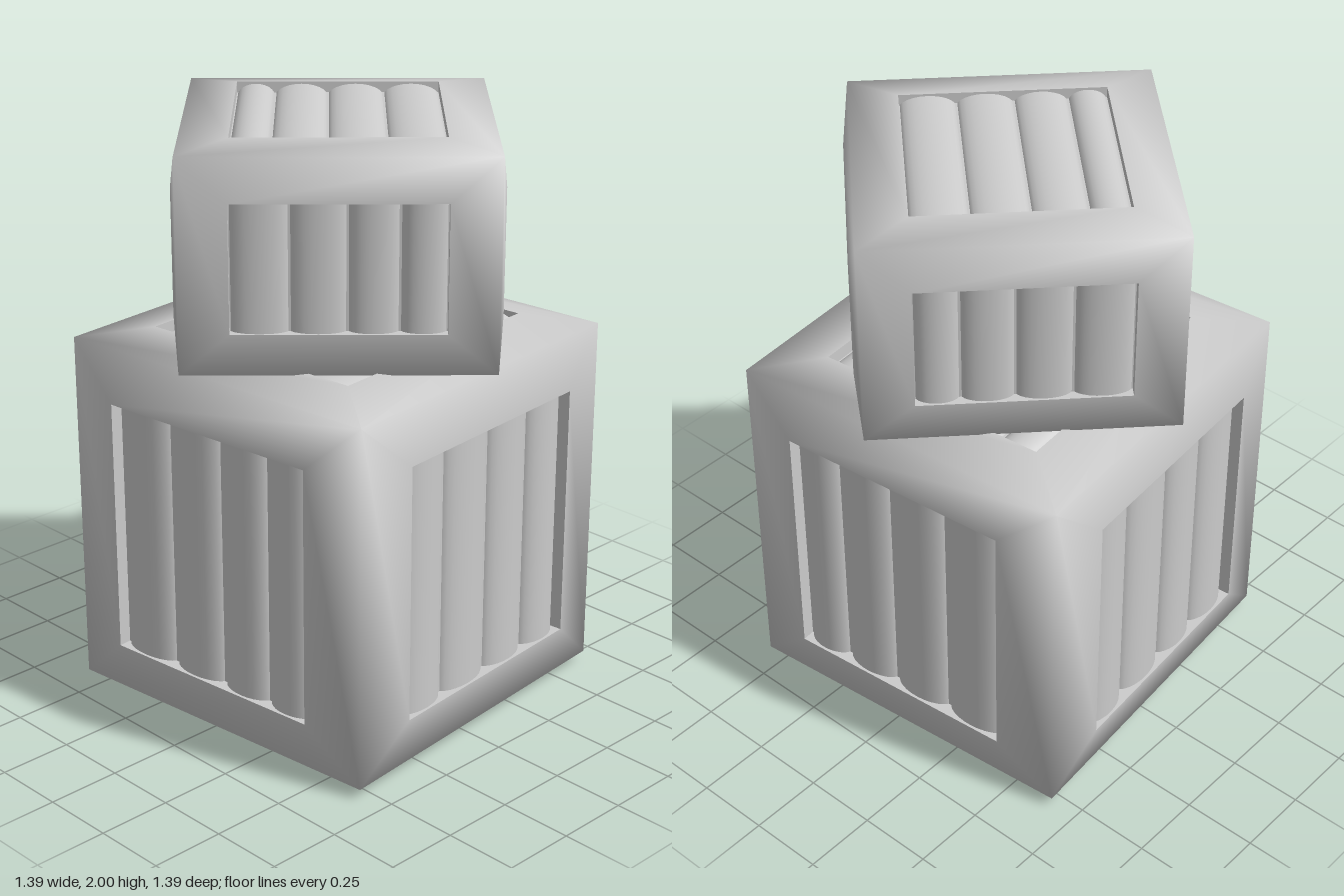
import * as THREE from 'three';
import { mergeVertices } from 'three/addons/utils/BufferGeometryUtils.js';

const V = (x, y, z) => new THREE.Vector3(x, y, z);

// Each side: u runs across the planks, v along them, n points outwards
const SIDES = [
  { name: 'front', u: V(1, 0, 0), v: V(0, 1, 0), n: V(0, 0, 1), cuts: [-1, -0.5, 0.05, 0.55, 1] },
  { name: 'left', u: V(0, 0, -1), v: V(0, 1, 0), n: V(1, 0, 0), cuts: [-1, -0.58, -0.08, 0.45, 1] },
  { name: 'back', u: V(-1, 0, 0), v: V(0, 1, 0), n: V(0, 0, -1), cuts: [-1, -0.52, 0.02, 0.5, 1] },
  { name: 'right', u: V(0, 0, 1), v: V(0, 1, 0), n: V(-1, 0, 0), cuts: [-1, -0.45, 0.08, 0.56, 1] },
  { name: 'top', u: V(0, 0, 1), v: V(1, 0, 0), n: V(0, 1, 0), cuts: [-1, -0.62, -0.1, 0.45, 1] },
  { name: 'bottom', u: V(0, 0, -1), v: V(1, 0, 0), n: V(0, -1, 0), cuts: [-1, -0.5, 0, 0.5, 1] },
];
const CORNERS = [[-1, -1], [1, -1], [1, 1], [-1, 1]];

function quad(list, a, b, c, d) {
  for (const p of [a, b, c, a, c, d]) list.push(p.x, p.y, p.z);
}

function toGeometry(list) {
  const g = new THREE.BufferGeometry();
  g.setAttribute('position', new THREE.Float32BufferAttribute(list, 3));
  return g;
}

// half: corner half extents, swell: rise of the frame towards its openings,
// border: frame width, depth: recess of the panels
function createCrate(name, half, swell, border, depth) {
  const material = new THREE.MeshStandardMaterial({ color: 0xcccccc });
  const crate = new THREE.Group();
  crate.name = name;
  const frame = [];
  const recess = [];

  for (const { name: side, u, v, n, cuts } of SIDES) {
    const along = (d) => Math.abs(d.dot(half));
    const hu = along(u), hv = along(v), hn = along(n);
    const ou = hu - border * 1.14, ov = hv - border;
    const ring = (ru, rv, rn) => CORNERS.map(([a, b]) =>
      V(0, 0, 0).addScaledVector(u, a * ru).addScaledVector(v, b * rv).addScaledVector(n, rn));
    const outer = ring(hu, hv, hn);
    const lip = ring(ou, ov, hn + swell);
    const floor = ring(ou, ov, hn + swell - depth);

    // Frame bars, opening walls and floor
    for (let i = 0; i < 4; i++) {
      const j = (i + 1) % 4;
      quad(frame, outer[i], outer[j], lip[j], lip[i]);
      quad(recess, lip[i], lip[j], floor[j], floor[i]);
    }
    quad(recess, ...floor);

    // Rounded planks lying in the opening
    const planks = new THREE.Group();
    planks.name = side + 'Planks';
    planks.applyMatrix4(new THREE.Matrix4().makeBasis(u, v, n));
    const arc = 1.25;
    const drop = Math.cos(arc);
    const rise = depth * 0.8 / (1 - drop);
    for (let i = 0; i < 4; i++) {
      const width = (cuts[i + 1] - cuts[i]) * ou - depth * 0.22;
      const geo = new THREE.CylinderGeometry(1, 1, 2 * ov, 10, 1, true, -arc, 2 * arc);
      geo.translate(0, 0, -drop);
      geo.scale(width / (2 * Math.sin(arc)), 1, rise);
      const plank = new THREE.Mesh(geo, material);
      plank.name = 'plank';
      plank.position.set((cuts[i] + cuts[i + 1]) / 2 * ou, 0, hn + swell - depth);
      planks.add(plank);
    }
    crate.add(planks);
  }

  // Frame shares vertices over the edges so it shades softly
  const frameGeo = mergeVertices(toGeometry(frame));
  frameGeo.computeVertexNormals();
  const frameMesh = new THREE.Mesh(frameGeo, material);
  frameMesh.name = 'frame';
  const recessGeo = toGeometry(recess);
  recessGeo.computeVertexNormals();
  const recessMesh = new THREE.Mesh(recessGeo, material);
  recessMesh.name = 'panelRecesses';
  crate.add(frameMesh, recessMesh);
  return crate;
}

export function createModel() {
  const model = new THREE.Group();
  model.name = 'stackedCrates';

  const lower = createCrate('lowerCrate', V(0.61, 0.61, 0.61), 0.035, 0.175, 0.045);
  lower.position.y = 0.645;
  lower.rotation.y = 0.09;

  const upper = createCrate('upperCrate', V(0.493, 0.347, 0.493), 0.022, 0.14, 0.036);
  upper.position.y = 1.631;
  upper.rotation.y = 0.8;

  model.add(lower, upper);
  return model;
}
